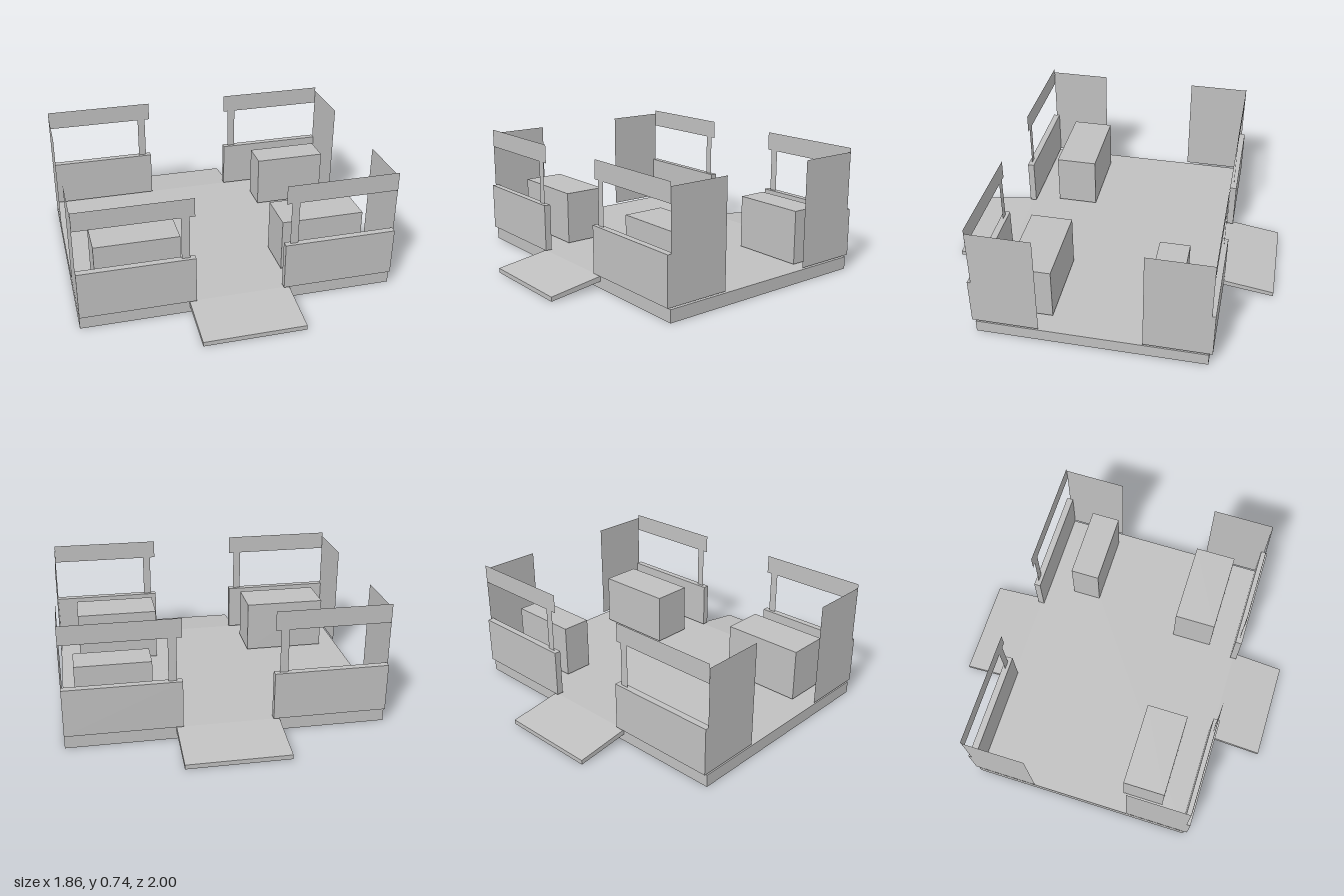
import * as THREE from 'three';

export function createModel() {
  const group = new THREE.Group();
  const grey = new THREE.MeshStandardMaterial({ color: 0xc0c0c0 });
  grey.name = 'light grey';
  const greySheet = grey.clone(); // same grey, for zero-thickness sheets
  greySheet.side = THREE.DoubleSide;

  const add = (name, geometry, material = grey) => {
    const mesh = new THREE.Mesh(geometry, material);
    mesh.name = name;
    group.add(mesh);
    return mesh;
  };
  const box = (name, x0, x1, y0, y1, z0, z1) =>
    add(name, new THREE.BoxGeometry(x1 - x0, y1 - y0, z1 - z0))
      .position.set((x0 + x1) / 2, (y0 + y1) / 2, (z0 + z1) / 2);

  // Floor slab
  box('floor', -0.932, 0.932, 0, 0.075, -0.677, 0.677);

  // Blocks standing on the floor
  const low = 0.085, blockTop = 0.406;
  box('frontLeftBlock', 0.307, 0.81, low, blockTop, 0.248, 0.502);
  box('frontRightBlock', -0.813, -0.31, low, blockTop, 0.248, 0.502);
  box('backLeftBlock', 0.41, 0.856, low, blockTop, -0.488, -0.308);

  // Upper beam with its post, cut from one sheet
  const frame = new THREE.Shape([
    [0.262, 0.744], [0.262, 0.631], [0.293, 0.631], [0.293, low],
    [0.341, low], [0.341, 0.631], [0.932, 0.631], [0.932, 0.744],
  ].map(([x, y]) => new THREE.Vector2(x, y)));

  // Ramp cross-section: outward distance against height
  const rampSection = new THREE.Shape([
    [0.677, 0.044], [1, 0], [1, 0.027], [0.677, 0.075],
  ].map(([z, y]) => new THREE.Vector2(z, y)));

  for (const end of [1, -1]) {
    const endName = end > 0 ? 'front' : 'back';

    // Sloping ramp at each end
    const ramp = add(endName + 'Ramp',
      new THREE.ExtrudeGeometry(rampSection, { depth: 0.6, bevelEnabled: false }));
    ramp.rotation.y = -end * Math.PI / 2;
    ramp.position.x = end * 0.3;

    for (const side of [1, -1]) {
      const name = endName + (side > 0 ? 'Left' : 'Right');

      // Low panel
      const panel = add(name + 'Panel', new THREE.BoxGeometry(0.67, 0.371 - low, 0.04));
      panel.position.set(side * 0.597, (0.371 + low) / 2, end * 0.677);

      // Beam and post, mirrored by turning the sheet around
      const beam = add(name + 'Frame', new THREE.ShapeGeometry(frame), greySheet);
      beam.rotation.y = side > 0 ? 0 : Math.PI;
      beam.position.z = end * 0.677;

      // Tall side wall
      const wall = add(name + 'Wall', new THREE.PlaneGeometry(0.375, 0.72 - low), greySheet);
      wall.rotation.y = side * Math.PI / 2;
      wall.position.set(side * 0.932, (0.72 + low) / 2, end * 0.489);
    }
  }
  // Ramp sections turn to point outwards at both ends
  return group;
}
